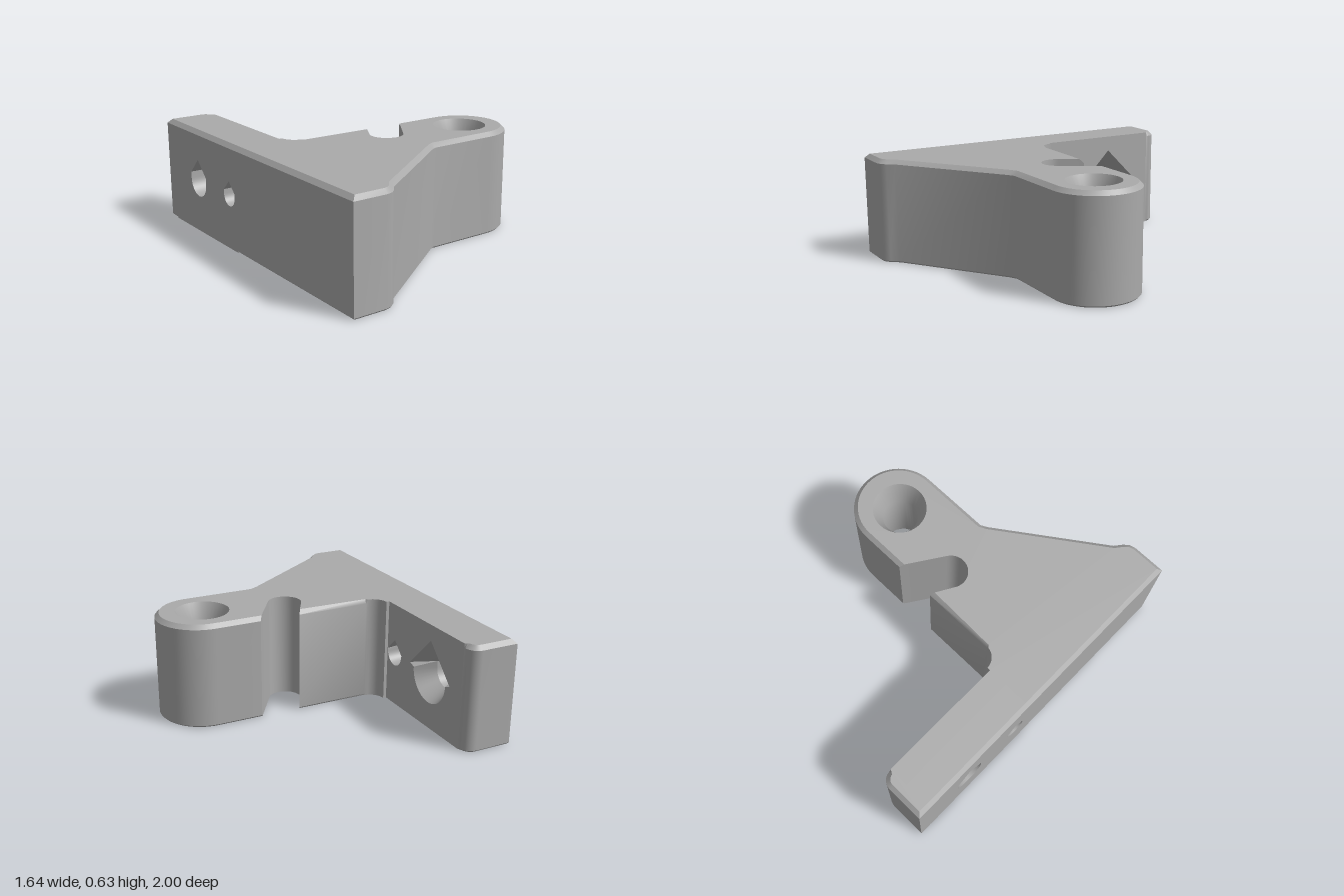
import * as THREE from 'three';
import { toCreasedNormals } from 'three/addons/utils/BufferGeometryUtils.js';

const H = 0.635;      // overall height
const C = 0.025;      // top chamfer
const LEFT = -0.825;  // flat mounting face
const INNER = -0.53;  // inner face of the plate
const CUT_A = 0.145, CUT_B = 0.92; // where the plate section starts and ends

const V = (x, y) => new THREE.Vector2(x, y);

// Points along an arc, angles in degrees
function arc(cx, cy, r, from, to, n) {
  return Array.from({ length: n + 1 }, (_, i) => {
    const a = THREE.MathUtils.degToRad(from + (to - from) * i / n);
    return V(cx + r * Math.cos(a), cy + r * Math.sin(a));
  });
}

// Move each edge of a counter-clockwise outline inwards by its own amount
function inset(pts, amounts, scale = 1) {
  const n = pts.length;
  const normal = i => {
    const d = pts[(i + 1) % n].clone().sub(pts[i]).normalize();
    return V(-d.y, d.x);
  };
  return pts.map((p, i) => {
    const j = (i + n - 1) % n, a = normal(j), b = normal(i);
    const da = amounts[j] * scale, db = amounts[i] * scale;
    const det = a.x * b.y - a.y * b.x;
    if (Math.abs(det) < 0.2) return p.clone().addScaledVector(a.add(b).normalize(), (da + db) / 2);
    return V(p.x + (da * b.y - db * a.y) / det, p.y + (a.x * db - b.x * da) / det);
  });
}

// Solid from stacked outlines, with holes made from stacked outlines; ring = [points, depth]
function solid(rings, holes = []) {
  const out = [];
  const put = (p, w) => out.push(p.x, p.y, w);
  const wall = (stack, flip) => {
    for (let k = 0; k < stack.length - 1; k++) {
      const [a, wa] = stack[k], [b, wb] = stack[k + 1];
      for (let i = 0; i < a.length; i++) {
        const j = (i + 1) % a.length;
        const q = [[a[i], wa], [a[j], wa], [b[j], wb], [b[i], wb]];
        (flip ? [0, 2, 1, 0, 3, 2] : [0, 1, 2, 0, 2, 3]).forEach(m => put(...q[m]));
      }
    }
  };
  const cap = (at, up) => {
    const [outer, w] = rings.at(at);
    const inner = holes.map(h => h.at(at)[0].slice().reverse());
    const all = [outer, ...inner].flat();
    THREE.ShapeUtils.triangulateShape(outer, inner).forEach(t =>
      (up ? t : [t[0], t[2], t[1]]).forEach(i => put(all[i], w)));
  };
  wall(rings, false);
  holes.forEach(h => wall(h, true));
  cap(0, false);
  cap(-1, true);
  const g = new THREE.BufferGeometry();
  g.setAttribute('position', new THREE.Float32BufferAttribute(out, 3));
  return g;
}

// Upright block with a small bottom chamfer and a larger top chamfer
function uprightBlock(pts, amounts, holes) {
  const g = solid([
    [inset(pts, amounts, 0.4), 0], [pts, 0.01],
    [pts, H - C], [inset(pts, amounts), H]
  ], holes);
  return toCreasedNormals(g.rotateX(-Math.PI / 2), 0.5);
}

// Round-bottomed hole with a pointed roof
function teardrop(cx, cy, r, side, shoulder, apex) {
  return [...arc(cx, cy, r, 180, 360, 20),
    V(cx + side, cy + shoulder), V(cx, cy + apex), V(cx - side, cy + shoulder)];
}

export function createModel() {
  const model = new THREE.Group();
  const grey = new THREE.MeshStandardMaterial({ color: 0xaaaaaa });
  grey.name = 'plain grey';
  const add = (name, geometry) => {
    const mesh = new THREE.Mesh(geometry, grey);
    mesh.name = name;
    model.add(mesh);
  };

  // Bracket body: foot, sloped brace, rounded arm end, slanted slot, inner fillet
  const pts = [], amounts = [];
  const run = (list, amount) => list.forEach(p => { pts.push(p); amounts.push(amount); });
  run([V(LEFT, CUT_A), V(LEFT, -1), V(-0.62, -1), V(-0.585, -0.99), V(-0.555, -0.965),
    V(-0.52, -0.92), V(0.09, -0.49), V(0.13, -0.47)], C);
  run(arc(0.557, -0.207, 0.263, -90, 90, 28), C);
  run([V(0.28, 0.056)], 0);
  run(arc(0.04, -0.128, 0.1, -31.5, -211.5, 20), 0);
  run([V(0.03, 0.056)], C);
  run(arc(-0.42, 0.146, 0.09, 270, 185, 10), 0);
  run([V(-0.51, CUT_A), V(INNER, CUT_A)], 0);
  const bore = (r, w) => [arc(0.54, -0.205, r, 0, 360, 36).slice(0, -1), w];
  add('bracketBody', uprightBlock(pts, amounts,
    [[bore(0.16, 0), bore(0.106, 0.12), bore(0.106, H - 0.12), bore(0.16, H)]]));

  // Plate section with two countersunk sideways screw holes
  const rect = [V(CUT_A, 0), V(CUT_B, 0), V(CUT_B, H), V(CUT_A, H)];
  const screwHole = (u, v, r, outer) => {
    const small = teardrop(u, v, r, r, 0.414 * r, 1.414 * r);
    return [[small, LEFT], [small, LEFT + C], [small, INNER - 0.12], [outer, INNER]];
  };
  const plate = solid(
    [[inset(rect, [0, 0, C, 0]), LEFT], [rect, LEFT + C], [rect, INNER - 0.12], [rect, INNER]],
    [
      screwHole(0.605, 0.32, 0.095, teardrop(0.605, 0.32, 0.163, 0.205, 0.015, 0.22)),
      screwHole(0.225, 0.325, 0.062, teardrop(0.225, 0.325, 0.075, 0.078, 0.01, 0.088))
    ]);
  add('mountingPlate', toCreasedNormals(plate.rotateY(Math.PI / 2), 0.5));

  // Rounded end of the plate
  const end = [V(LEFT, 1), V(LEFT, CUT_B), V(INNER, CUT_B), ...arc(INNER - 0.07, 0.93, 0.07, 0, 90, 10)];
  add('plateEnd', uprightBlock(end, end.map((_, i) => (i === 1 || i === 2 ? 0 : C))));

  return model;
}
